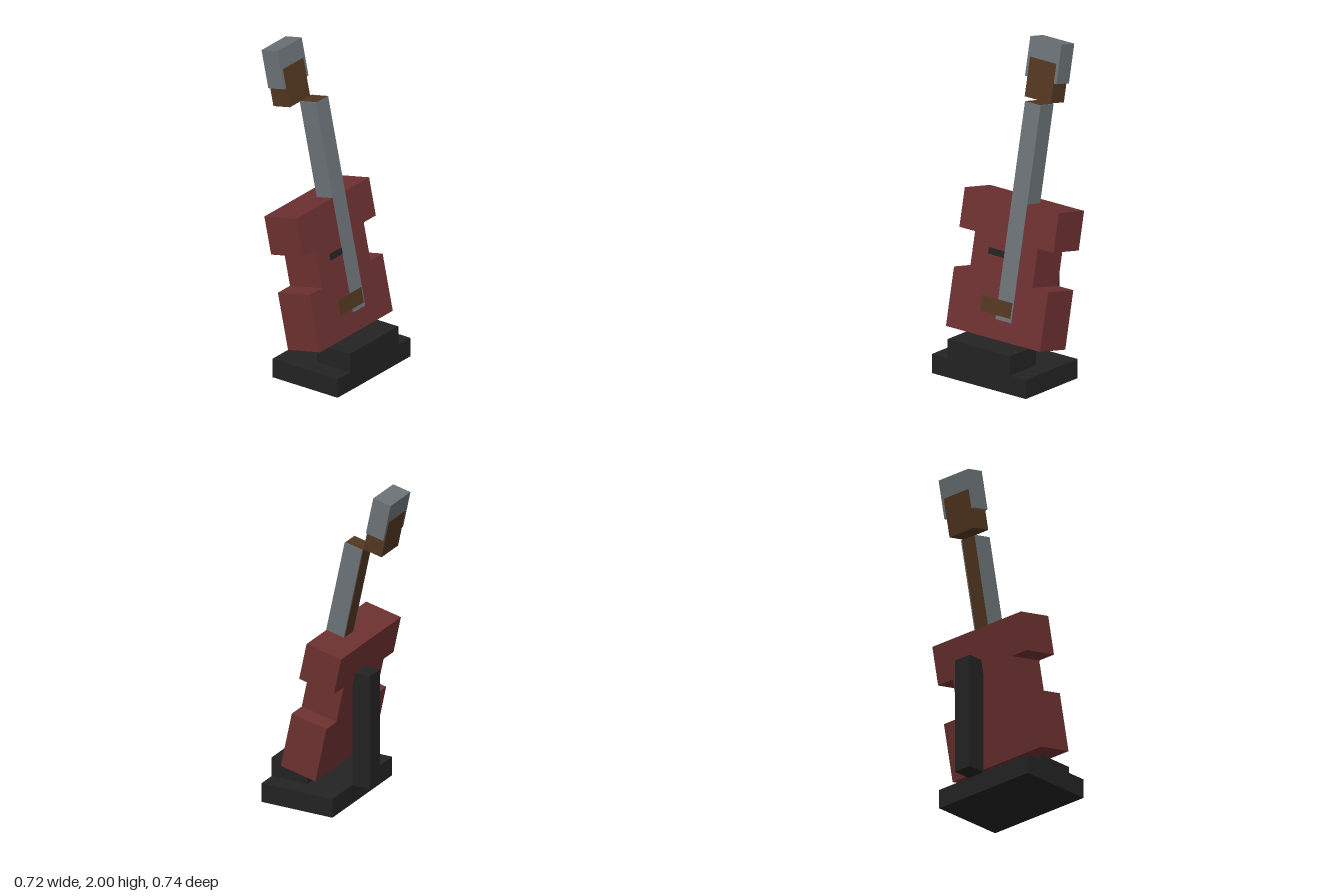
import * as THREE from 'three';

const paint = (name, color) => {
  const m = new THREE.MeshStandardMaterial({ color });
  m.name = name;
  return m;
};

export function createModel() {
  const red = paint('red body', 0x6e3131);
  const grey = paint('steel grey', 0x6b7276);
  const brown = paint('dark brown', 0x523720);
  const black = paint('stand black', 0x232323);

  // Box given by its low and high corner on each axis
  const box = (parent, name, mat, [x0, x1], [y0, y1], [z0, z1]) => {
    const mesh = new THREE.Mesh(new THREE.BoxGeometry(x1 - x0, y1 - y0, z1 - z0), mat);
    mesh.position.set((x0 + x1) / 2, (y0 + y1) / 2, (z0 + z1) / 2);
    mesh.name = name;
    parent.add(mesh);
    return mesh;
  };

  const model = new THREE.Group();
  model.name = 'guitarOnStand';

  // Stand: base plate, front step, rear post
  const stand = new THREE.Group();
  stand.name = 'stand';
  model.add(stand);
  box(stand, 'standBase', black, [-0.36, 0.36], [0, 0.12], [-0.11, 0.37]);
  box(stand, 'standStep', black, [-0.24, 0.24], [0.12, 0.24], [0.13, 0.37]);
  box(stand, 'standPost', black, [0, 0.12], [0.12, 0.845], [-0.23, -0.11]);

  // Guitar leans back; its origin is the lower back edge of the body
  const guitar = new THREE.Group();
  guitar.name = 'guitar';
  guitar.position.set(0, 0.21, 0.005);
  guitar.rotation.x = -THREE.MathUtils.degToRad(12);
  model.add(guitar);

  // Body with a square waist
  const half = [[0.36, 0], [0.36, 0.36], [0.24, 0.36], [0.24, 0.6], [0.36, 0.6], [0.36, 0.84]];
  const outline = [...half, ...half.map(([x, y]) => [-x, y]).reverse()];
  const shape = new THREE.Shape(outline.map(([x, y]) => new THREE.Vector2(x, y)));
  const body = new THREE.Mesh(
    new THREE.ExtrudeGeometry(shape, { depth: 0.24, bevelEnabled: false }), red);
  body.name = 'body';
  guitar.add(body);

  // Neck, with a brown core showing on its back and top
  box(guitar, 'neck', grey, [0, 0.12], [0.12, 1.44], [0.12, 0.242]);
  box(guitar, 'neckBack', brown, [0.01, 0.11], [0.84, 1.442], [0.118, 0.122]);
  box(guitar, 'neckTop', brown, [0.01, 0.11], [1.438, 1.442], [0.12, 0.24]);

  // Bridge and pickup plates on the front
  box(guitar, 'bridge', brown, [-0.12, 0.11], [0.145, 0.24], [0.238, 0.244]);
  box(guitar, 'pickup', black, [-0.12, 0], [0.49, 0.53], [0.238, 0.242]);

  // Headstock
  box(guitar, 'headstock', grey, [-0.12, 0.12], [1.56, 1.8], [0, 0.12]);
  box(guitar, 'headstockCore', brown, [-0.1, 0.1], [1.44, 1.68], [-0.002, 0.122]);

  return model;
}
